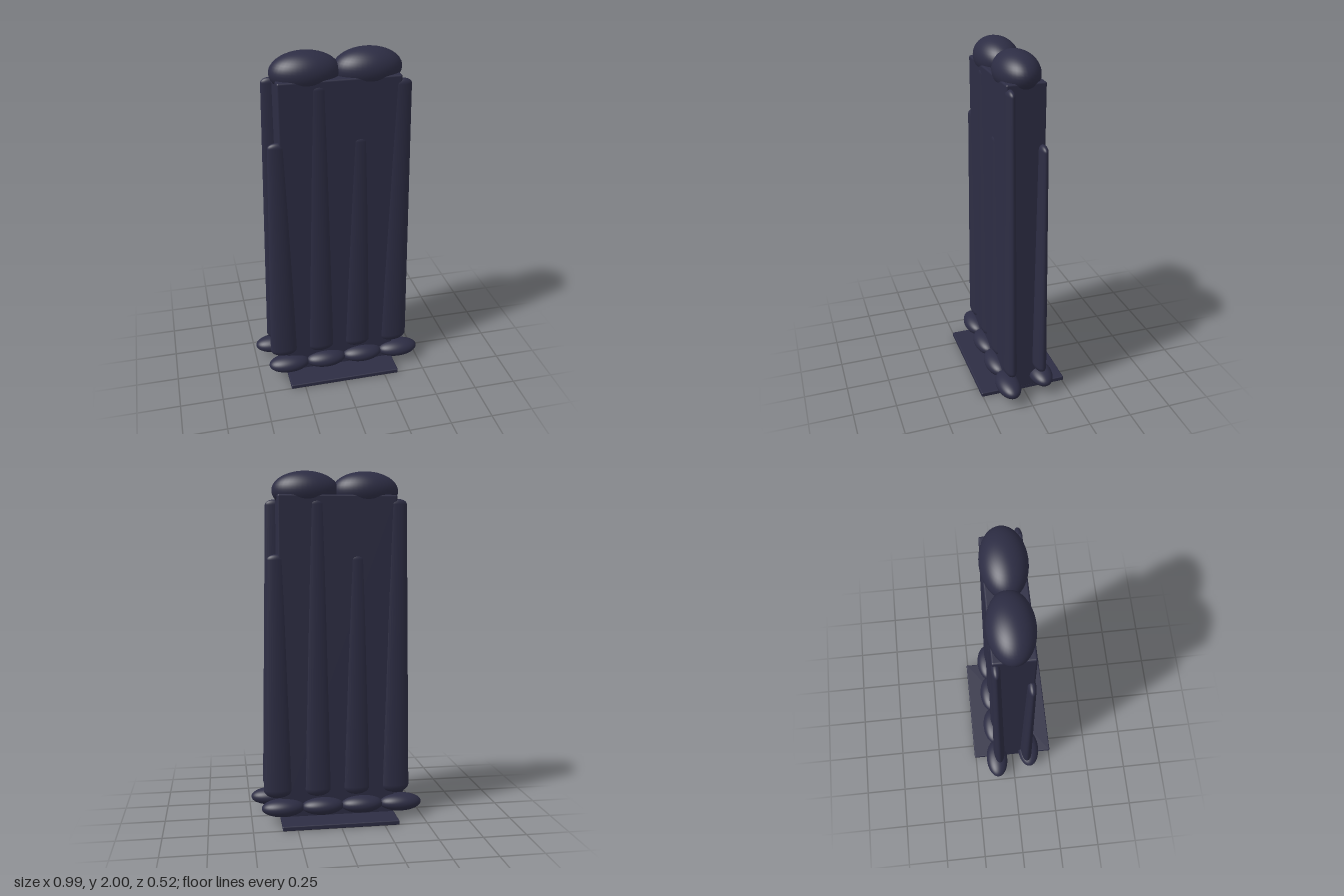
import * as THREE from 'three';
import { RoundedBoxGeometry } from 'three/addons/geometries/RoundedBoxGeometry.js';

export function createModel() {
  const model = new THREE.Group();
  model.name = 'drapedPanel';
  const fabric = new THREE.MeshStandardMaterial({ color: 0x2d2d44 });
  fabric.name = 'dark navy fabric';

  function add(parent, name, geometry, x, y, z) {
    const mesh = new THREE.Mesh(geometry, fabric);
    mesh.name = name;
    mesh.position.set(x, y, z);
    parent.add(mesh);
    return mesh;
  }

  function ellipsoid(rx, ry, rz) {
    return new THREE.SphereGeometry(1, 40, 24).scale(rx, ry, rz);
  }

  // Tapered fold with rounded ends, flattened front to back
  function foldGeometry(bottom, top) {
    const rBottom = 0.085, rTop = 0.052, cap = 0.05;
    const points = [];
    for (let i = 0; i <= 8; i++) {
      const a = (i / 8) * Math.PI / 2;
      points.push(new THREE.Vector2(rBottom * Math.sin(a), bottom + cap * (1 - Math.cos(a))));
    }
    for (let i = 0; i <= 8; i++) {
      const a = (i / 8) * Math.PI / 2;
      points.push(new THREE.Vector2(rTop * Math.cos(a), top - 0.03 * (1 - Math.sin(a))));
    }
    points[0].x = points[points.length - 1].x = 0;
    return new THREE.LatheGeometry(points, 32).scale(1, 1, 0.42);
  }

  // Thin foot plate and the main upright panel
  add(model, 'basePlate', new RoundedBoxGeometry(0.67, 0.027, 0.516, 2, 0.006), 0, 0.0135, 0);
  add(model, 'panel', new RoundedBoxGeometry(0.67, 1.85, 0.216, 3, 0.01), 0, 0.942, 0);

  // Two puffs along the top
  for (const side of [-1, 1]) {
    add(model, 'topPuff', ellipsoid(0.19, 0.11, 0.12), side * 0.17, 1.89, 0);
  }

  // Folds and hem puffs: the back is the front turned half round
  for (const face of ['front', 'back']) {
    const drape = new THREE.Group();
    drape.name = face + 'Drape';
    if (face === 'back') drape.rotation.y = Math.PI;
    for (let i = 0; i < 4; i++) {
      const top = i % 2 ? 1.845 : 1.54;
      add(drape, 'fold', foldGeometry(0.138, top), -0.345 + i * 0.2283, 0, 0.09);
      add(drape, 'hemPuff', ellipsoid(0.124, 0.051, 0.069), -0.321 + i * 0.231, 0.085, 0.108);
    }
    model.add(drape);
  }
  return model;
}
